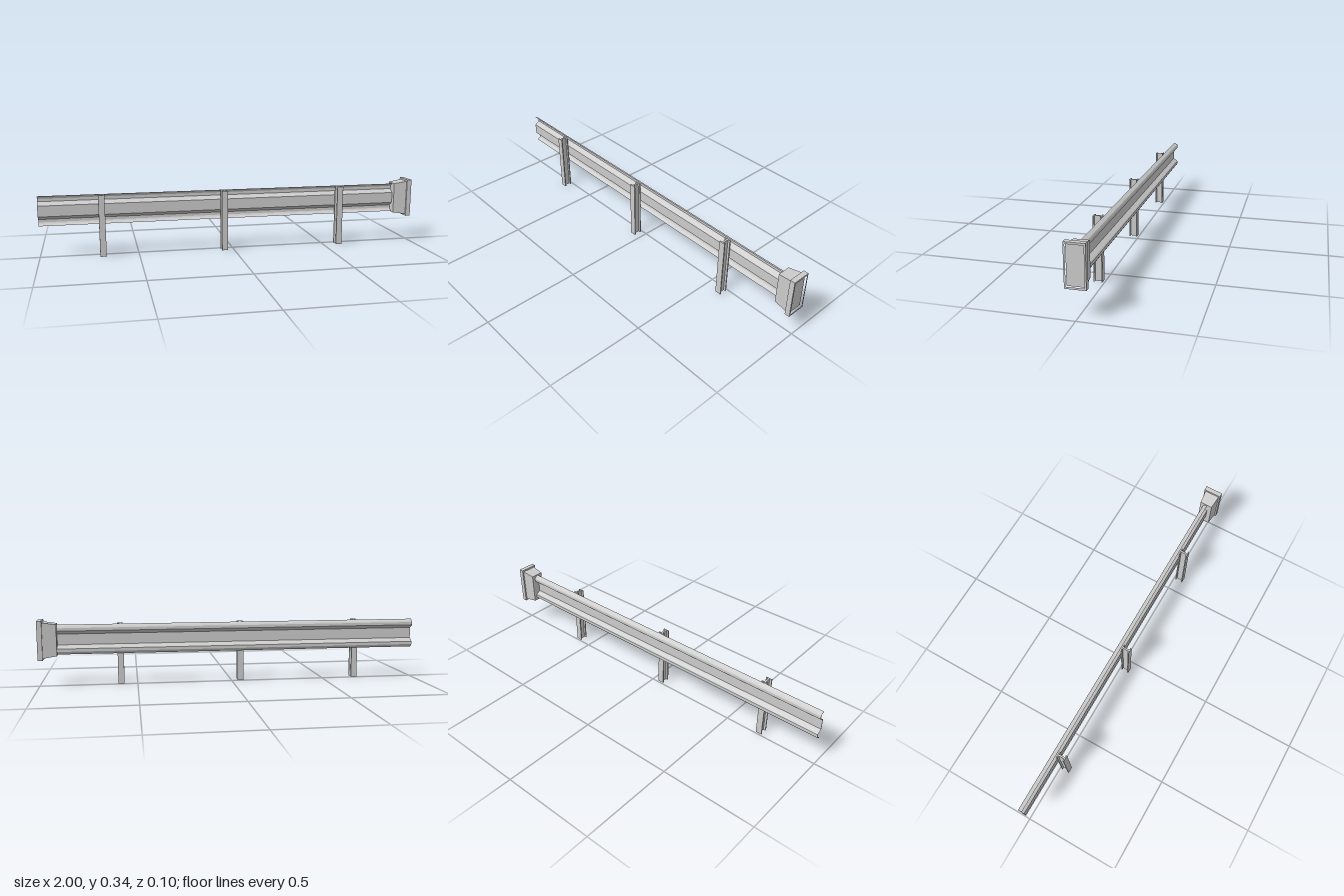
import * as THREE from 'three';

const material = new THREE.MeshStandardMaterial({ color: 0xcccccc, flatShading: true });

// Extrude an outline given as [z, y] pairs along x, from x0 to x1
function extrudeAlongX(outline, x0, x1, hole) {
  const toShape = pts => pts.map(([z, y]) => new THREE.Vector2(-z, y));
  const shape = new THREE.Shape(toShape(outline));
  if (hole) shape.holes.push(new THREE.Path(toShape(hole)));
  const geo = new THREE.ExtrudeGeometry(shape, { depth: x1 - x0, bevelEnabled: false });
  geo.rotateY(Math.PI / 2);
  geo.translate(x0, 0, 0);
  return geo;
}

const rect = (z, y, w, h) => [
  [z - w / 2, y - h / 2], [z + w / 2, y - h / 2], [z + w / 2, y + h / 2], [z - w / 2, y + h / 2],
];

function addMesh(parent, name, geometry) {
  const mesh = new THREE.Mesh(geometry, material);
  mesh.name = name;
  parent.add(mesh);
  return mesh;
}

// Two-wave rail, mirrored about its middle height
function railGeometry() {
  const midY = 0.24, thickness = 0.003;
  const half = [[0.006, 0.028], [-0.014, 0.041], [-0.019, 0.046], [-0.019, 0.061], [-0.015, 0.068], [0.001, 0.077]];
  const line = [
    ...half.map(([z, y]) => [z, midY - y]).reverse(),
    ...half.map(([z, y]) => [z, midY + y]),
  ];
  const back = line.map(([z, y]) => [z + thickness, y]).reverse();
  return extrudeAlongX([...line, ...back], -1, 0.915);
}

// I-section post
function makePost(x) {
  const post = new THREE.Group();
  post.name = 'post';
  const height = 0.318;
  const parts = [
    ['postFrontFlange', 0.032, 0.006, 0.049],
    ['postBackFlange', 0.032, 0.006, 0.012],
    ['postWeb', 0.009, 0.031, 0.0305],
  ];
  for (const [name, w, d, z] of parts) {
    addMesh(post, name, new THREE.BoxGeometry(w, height, d)).position.set(0, height / 2, z);
  }
  post.position.x = x;
  return post;
}

// End terminal: tapered housing, rim and recessed panel
function makeTerminal() {
  const terminal = new THREE.Group();
  terminal.name = 'endTerminal';
  const z = -0.0025, y = 0.241;

  const body = new THREE.BoxGeometry(0.07, 1, 1);
  const p = body.attributes.position;
  for (let i = 0; i < p.count; i++) {
    const outer = p.getX(i) > 0;
    p.setY(i, p.getY(i) * (outer ? 0.183 : 0.162));
    p.setZ(i, p.getZ(i) * (outer ? 0.08 : 0.068));
  }
  body.computeVertexNormals();
  addMesh(terminal, 'terminalBody', body).position.set(0.94, y, z);

  addMesh(terminal, 'terminalRim',
    extrudeAlongX(rect(z, y, 0.095, 0.202), 0.975, 1, rect(z, y, 0.08, 0.183)));
  addMesh(terminal, 'terminalPanel', new THREE.BoxGeometry(0.015, 0.183, 0.08)).position.set(0.9825, y, z);
  return terminal;
}

export function createModel() {
  const model = new THREE.Group();
  model.name = 'guardRail';
  addMesh(model, 'rail', railGeometry());
  for (const x of [-0.683, -0.049, 0.585]) model.add(makePost(x));
  model.add(makeTerminal());
  return model;
}
